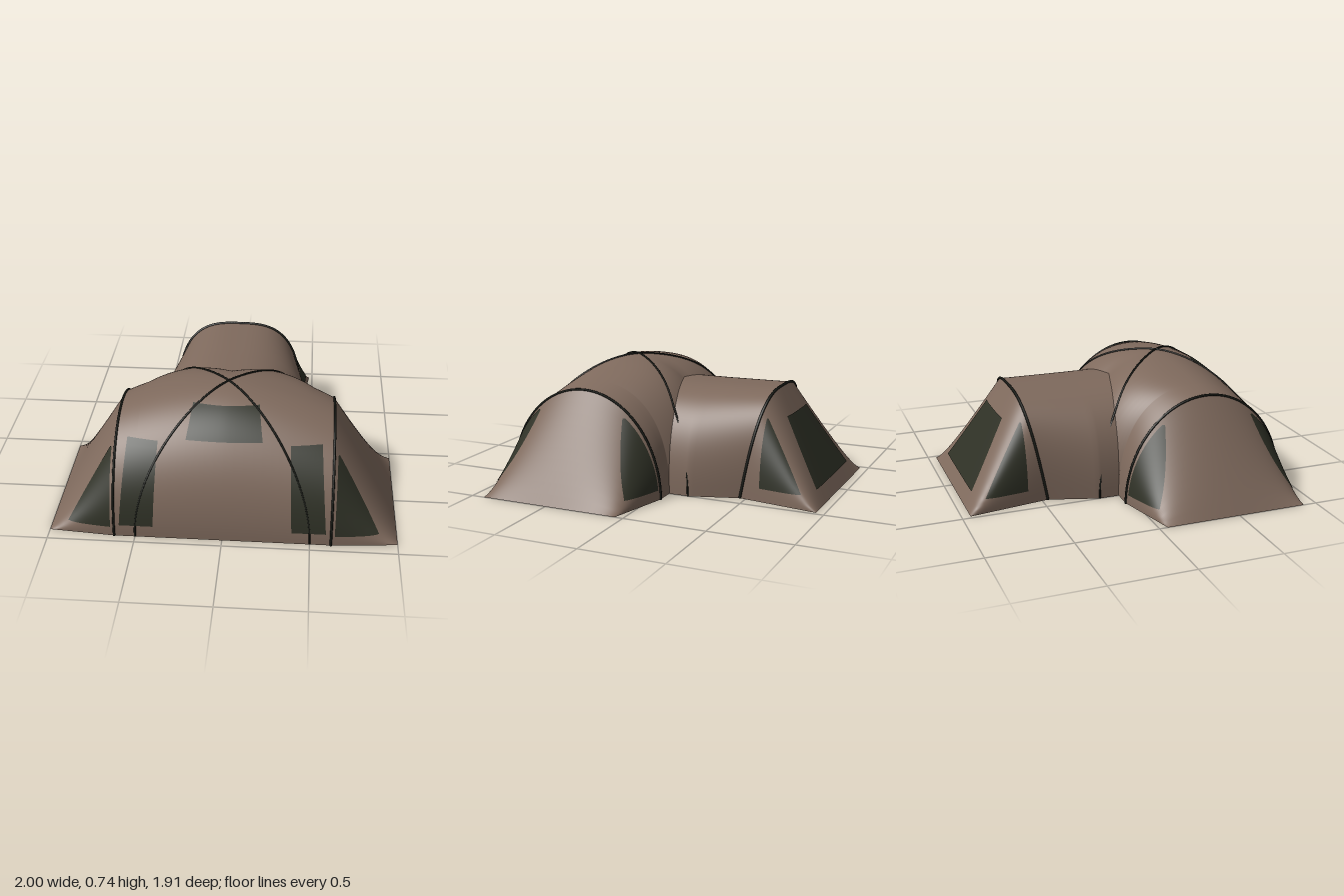
import * as THREE from 'three';

const fabric = new THREE.MeshStandardMaterial({ color: 0x7f6a5d, side: THREE.DoubleSide });
const windowDark = new THREE.MeshStandardMaterial({ color: 0x2f3126, side: THREE.DoubleSide });
const poleBlack = new THREE.MeshStandardMaterial({ color: 0x191b16 });
fabric.name = 'brownFabric';
windowDark.name = 'darkWindow';
poleBlack.name = 'blackPole';

const { lerp, clamp } = THREE.MathUtils;
const spow = (v, p) => Math.sign(v) * Math.abs(v) ** p;
const HOOP_X = 0.62, HOOP_H = 0.61;

// Main dome profile at a given x: crown height, crown z, rear foot z and rear fullness
function profile(x) {
  const ax = Math.abs(x), k = Math.min(1, ax / HOOP_X);
  const c = 0.39 + 0.06 * k ** 2;
  const back = -0.17 + 0.12 * Math.min(1, ax / 0.5) ** 4;
  return { h: 0.73 - 0.12 * k ** 1.7, c, front: 0.95 - c, rear: c - back, n: 2 + 0.5 * Math.sin(Math.PI * k) };
}
const frontZ = (x, y) => {
  const p = profile(x);
  return p.c + p.front * Math.sqrt(Math.max(0, 1 - (y / p.h) ** 2));
};
const rearZ = (x, y) => {
  const p = profile(x);
  return p.c - p.rear * Math.max(0, 1 - (y / p.h) ** p.n) ** (1 / p.n);
};
function domeY(x, z) {
  const p = profile(x), front = z > p.c, n = front ? 2 : p.n;
  const r = Math.abs(z - p.c) / (front ? p.front : p.rear);
  return p.h * Math.max(0, 1 - r ** n) ** (1 / n);
}

// Height of the tunnel mouth at x, used to cut the dome open behind
const mouthY = (x) => 0.605 * Math.max(0, 1 - (Math.abs(x) / 0.5) ** 2.6) ** (1 / 2.6);

// Leaning rear hoop, by height
const rearHoopZ = (y) => -0.465 - 0.19 * y;
const rearHoopFrac = (y) => Math.max(0, 1 - (y / HOOP_H) ** 3) ** (1 / 3);
const REAR_Z = -0.95;

// Sheet of quads from a function of u, v in 0..1
function sheet(nu, nv, fn) {
  const pos = [], idx = [];
  for (let j = 0; j <= nv; j++)
    for (let i = 0; i <= nu; i++) pos.push(...fn(i / nu, j / nv));
  for (let j = 0; j < nv; j++)
    for (let i = 0; i < nu; i++) {
      const a = j * (nu + 1) + i, b = a + 1, d = a + nu + 1, c = d + 1;
      idx.push(a, b, d, b, c, d);
    }
  const g = new THREE.BufferGeometry();
  g.setAttribute('position', new THREE.Float32BufferAttribute(pos, 3));
  g.setIndex(idx);
  g.computeVertexNormals();
  return g;
}

// Window: a flat four-corner outline laid onto a surface and lifted just off it
function pane(corners, onto, centre) {
  const [a, b, c, d] = corners;
  const g = sheet(14, 14, (u, v) => onto(
    lerp(lerp(a[0], b[0], u), lerp(d[0], c[0], u), v),
    lerp(lerp(a[1], b[1], u), lerp(d[1], c[1], u), v)));
  const p = g.attributes.position, P = new THREE.Vector3(), N = new THREE.Vector3();
  for (let i = 0; i < p.count; i++) {
    P.fromBufferAttribute(p, i);
    N.fromBufferAttribute(g.attributes.normal, i);
    const s = N.dot(P.clone().sub(centre)) < 0 ? -0.004 : 0.004;
    P.addScaledVector(N, s);
    p.setXYZ(i, P.x, P.y, P.z);
  }
  return g;
}

// Point on the rear wall whose coordinate on one axis (0 = x, 2 = z) and height are given
function onRearWall(axis, value, y) {
  const at = (y0) => {
    const t = 1 - y / y0, f = rearHoopFrac(y0);
    return [lerp(0.41 * f, 0.48 * Math.sqrt(f), t), y, lerp(rearHoopZ(y0), REAR_Z, t)];
  };
  let lo = y, hi = HOOP_H;
  for (let i = 0; i < 40; i++) {
    const mid = (lo + hi) / 2;
    if (at(mid)[axis] > value) lo = mid; else hi = mid;
  }
  return at((lo + hi) / 2);
}

export function createModel() {
  const group = new THREE.Group();
  const add = (name, geo, mat) => {
    const m = new THREE.Mesh(geo, mat);
    m.name = name;
    group.add(m);
  };
  const pole = (name, r, fn) => {
    const pts = Array.from({ length: 49 }, (_, i) => new THREE.Vector3(...fn(Math.PI * i / 48)));
    add(name, new THREE.TubeGeometry(new THREE.CatmullRomCurve3(pts), 96, r, 6), poleBlack);
  };

  // Dome between the two side hoops, open where the tunnel joins
  const xs = [];
  for (let i = 0; i <= 14; i++) xs.push(0.5 * Math.sin(i / 14 * Math.PI / 2));
  xs.push(0.54, 0.58, HOOP_X);
  const stations = [...xs.slice(1).reverse().map((x) => -x), ...xs];
  const nx = stations.length - 1;
  add('mainDome', sheet(nx, 64, (u, v) => {
    const x = stations[Math.round(u * nx)], p = profile(x);
    if (v <= 0.5) {
      const a = v * Math.PI;
      return [x, p.h * Math.sin(a), p.c + p.front * Math.cos(a)];
    }
    const end = Math.PI - Math.asin(clamp((mouthY(x) / p.h) ** (p.n / 2), 0, 1));
    const a = lerp(Math.PI / 2, end, (v - 0.5) * 2);
    const y = p.h * Math.max(0, Math.sin(a)) ** (2 / p.n);
    return [x, y, p.c - p.rear * Math.abs(Math.cos(a)) ** (2 / p.n)];
  }), fabric);

  // Sloping side ends: each hoop runs straight down to a ground edge
  const domeCentre = new THREE.Vector3(0, 0.15, 0.43);
  for (const s of [1, -1]) {
    const side = s > 0 ? 'left' : 'right';
    add(side + 'End', sheet(64, 10, (u, v) => {
      const a = u * Math.PI, c = Math.cos(a);
      return [s * lerp(HOOP_X, 1, v), HOOP_H * Math.sin(a) * (1 - v), lerp(0.45 + 0.5 * c, 0.485 + 0.435 * c, v)];
    }), fabric);
    pole(side + 'HoopPole', 0.007, (a) => [s * HOOP_X, 0.613 * Math.sin(a), 0.45 + 0.502 * Math.cos(a)]);

    // End windows, front and back
    for (const f of [1, -1]) {
      add(side + (f > 0 ? 'EndFrontWindow' : 'EndBackWindow'),
        pane([[0.64, 0.06], [0.89, 0.06], [0.648, 0.47], [0.64, 0.47]], (x, y) => {
          const t = (x - HOOP_X) / (1 - HOOP_X);
          const c = f * Math.sqrt(Math.max(0, 1 - (y / (1 - t) / HOOP_H) ** 2));
          return [s * x, y, lerp(0.45 + 0.5 * c, 0.485 + 0.435 * c, t)];
        }, domeCentre), windowDark);
    }

    // Tall front windows
    add(side + 'FrontWindow', pane([[0.395, 0.075], [0.59, 0.075], [0.552, 0.53], [0.375, 0.53]],
      (x, y) => [s * x, y, frontZ(x, y)], domeCentre), windowDark);

    // Crossing poles, following the dome and dropping inside the tunnel
    pole(side + 'CrossPole', 0.006, (a) => {
      const t = Math.cos(a), x = s * 0.5 * t, z = 0.39 + 0.56 * t;
      const y = t > -0.72 ? domeY(x, z) + 0.003 : 0.73 * Math.sin(a);
      return [x, y, z];
    });

    // Rear side windows
    add(side + 'RearSideWindow', pane([[-0.59, 0.08], [-0.85, 0.08], [-0.598, 0.47], [-0.59, 0.47]], (z, y) => {
      const p = onRearWall(2, z, y);
      return [s * p[0], p[1], p[2]];
    }, new THREE.Vector3(0, 0.1, -0.5)), windowDark);
  }

  // Front top window
  add('frontTopWindow', pane([[-0.217, 0.545], [0.217, 0.545], [0.19, 0.68], [-0.19, 0.68]],
    (x, y) => [x, y, frontZ(x, y)], domeCentre), windowDark);

  // Tunnel from the dome to the rear hoop
  const hoopPoint = (a) => {
    const c = Math.cos(a), y = HOOP_H * Math.max(0, Math.sin(a)) ** (2 / 3);
    return [0.41 * spow(c, 2 / 3), y, rearHoopZ(y)];
  };
  add('tunnel', sheet(64, 20, (u, v) => {
    const a = u * Math.PI, e = 2 / 2.6;
    const x = 0.5 * spow(Math.cos(a), e), y = 0.605 * Math.max(0, Math.sin(a)) ** e;
    if (v <= 0.4) return [x, y, lerp(rearZ(x, y), -0.175, v / 0.4)];
    const t = (v - 0.4) / 0.6, h = hoopPoint(a);
    return [lerp(x, h[0], t), lerp(y, h[1], t), lerp(-0.175, h[2], t)];
  }), fabric);

  // Rear wall sloping from the hoop to the ground
  add('rearWall', sheet(96, 10, (u, v) => {
    const h = hoopPoint(u * Math.PI);
    return [lerp(h[0], 0.48 * spow(h[0] / 0.41, 0.5), v), h[1] * (1 - v), lerp(h[2], REAR_Z, v)];
  }), fabric);
  pole('rearHoopPole', 0.008, (a) => {
    const h = hoopPoint(a);
    return [h[0] * 1.008, h[1] + 0.002, h[2]];
  });

  // Rear window
  add('rearWindow', pane([[-0.32, 0.08], [0.32, 0.08], [0.18, 0.46], [-0.18, 0.46]], (x, y) => {
    const p = onRearWall(0, Math.abs(x), y);
    return [x, p[1], p[2]];
  }, new THREE.Vector3(0, 0.1, -0.5)), windowDark);

  return group;
}
